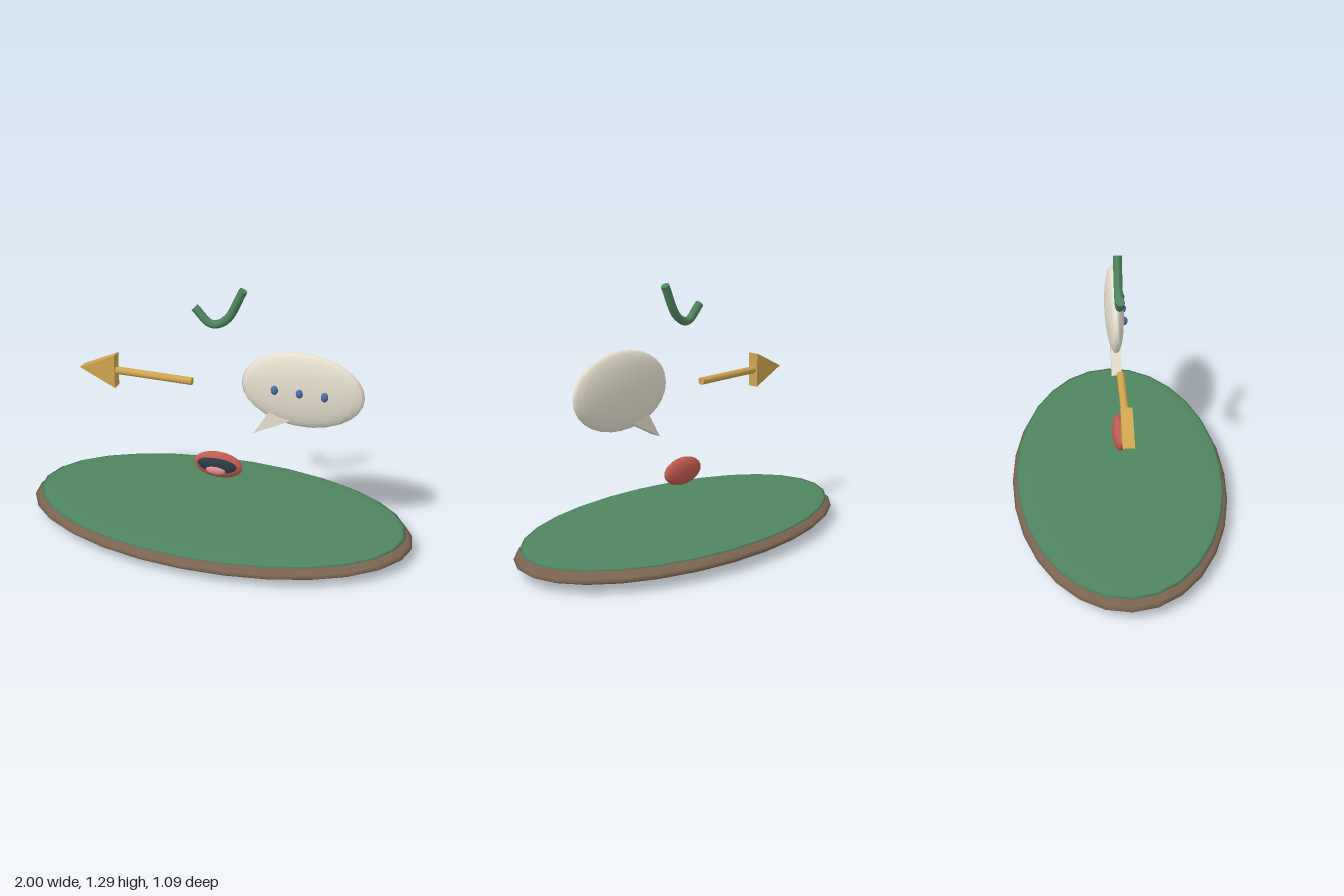
import * as THREE from 'three';

const mat = (color, extra = {}) => new THREE.MeshStandardMaterial({ color, ...extra });

export function createModel() {
  const model = new THREE.Group();
  const green = 0x4f8560, brown = 0x7a6350, cream = 0xe6e0cf, gold = 0xd0a550;
  const red = 0xc05a50, dark = 0x2a3a44, pink = 0xdf8a88, blue = 0x4a6fa8;

  const add = (name, geometry, material, parent = model) => {
    const mesh = new THREE.Mesh(geometry, material);
    mesh.name = name;
    parent.add(mesh);
    return mesh;
  };
  const group = (name) => {
    const g = new THREE.Group();
    g.name = name;
    model.add(g);
    return g;
  };
  // Stretched sphere with the given centre and radii
  const ellipsoid = (name, color, centre, radii, w, h, parent) => {
    const mesh = add(name, new THREE.SphereGeometry(1, w, h), mat(color), parent);
    mesh.position.set(...centre);
    mesh.scale.set(...radii);
  };
  // Flat outline in x-y, extruded evenly about z = 0
  const plate = (name, color, points, depth, parent) => {
    const shape = new THREE.Shape(points.map(([x, y]) => new THREE.Vector2(x, y)));
    const geometry = new THREE.ExtrudeGeometry(shape, { depth, bevelEnabled: false });
    geometry.translate(0, 0, -depth / 2);
    add(name, geometry, mat(color), parent);
  };

  // Oval base with a grassy top
  const base = group('base');
  ellipsoid('soil', brown, [0, 0.06, 0], [1, 0.06, 0.545], 28, 16, base);
  ellipsoid('grass', green, [0, 0.105, 0], [0.965, 0.018, 0.525], 28, 16, base);

  // Open mouth
  const mouth = group('mouth');
  ellipsoid('lips', red, [0, 0.345, 0], [0.128, 0.069, 0.035], 20, 14, mouth);
  ellipsoid('mouthOpening', dark, [0, 0.35, 0.02], [0.104, 0.042, 0.022], 20, 14, mouth);
  ellipsoid('tongue', pink, [0, 0.328, 0.038], [0.052, 0.022, 0.015], 16, 12, mouth);

  // Speech bubble with tail and three dots
  const bubble = group('speechBubble');
  ellipsoid('bubbleBody', cream, [0.425, 0.815, 0], [0.305, 0.19, 0.048], 20, 14, bubble);
  plate('bubbleTail', cream, [[0.19, 0.56], [0.385, 0.66], [0.27, 0.69]], 0.05, bubble);
  for (const x of [0.3, 0.424, 0.547]) {
    ellipsoid('bubbleDot', blue, [x, 0.815, 0.046], [0.018, 0.023, 0.016], 12, 8, bubble);
  }

  // Arrow pointing to -x
  const arrow = group('arrow');
  const shaft = add('arrowShaft', new THREE.CylinderGeometry(0.019, 0.019, 0.41, 12), mat(gold), arrow);
  shaft.rotation.z = Math.PI / 2;
  shaft.position.set(-0.34, 0.777, 0);
  plate('arrowHead', gold, [[-0.73, 0.777], [-0.54, 0.69], [-0.54, 0.864]], 0.054, arrow);

  // Tick mark: a bent tube with closed ends
  const path = new THREE.CatmullRomCurve3([
    [-0.12, 1.165], [-0.035, 1.09], [0.04, 1.12], [0.125, 1.277],
  ].map(([x, y]) => new THREE.Vector3(x, y, 0)));
  const tick = group('checkMark');
  add('checkTube', new THREE.TubeGeometry(path, 16, 0.021, 8), mat(green), tick);
  for (const [t, sign] of [[0, -1], [1, 1]]) {
    const cap = add('checkEnd', new THREE.CircleGeometry(0.021, 8), mat(green), tick);
    cap.position.copy(path.getPoint(t));
    cap.quaternion.setFromUnitVectors(
      new THREE.Vector3(0, 0, 1), path.getTangent(t).multiplyScalar(sign));
  }

  return model;
}
